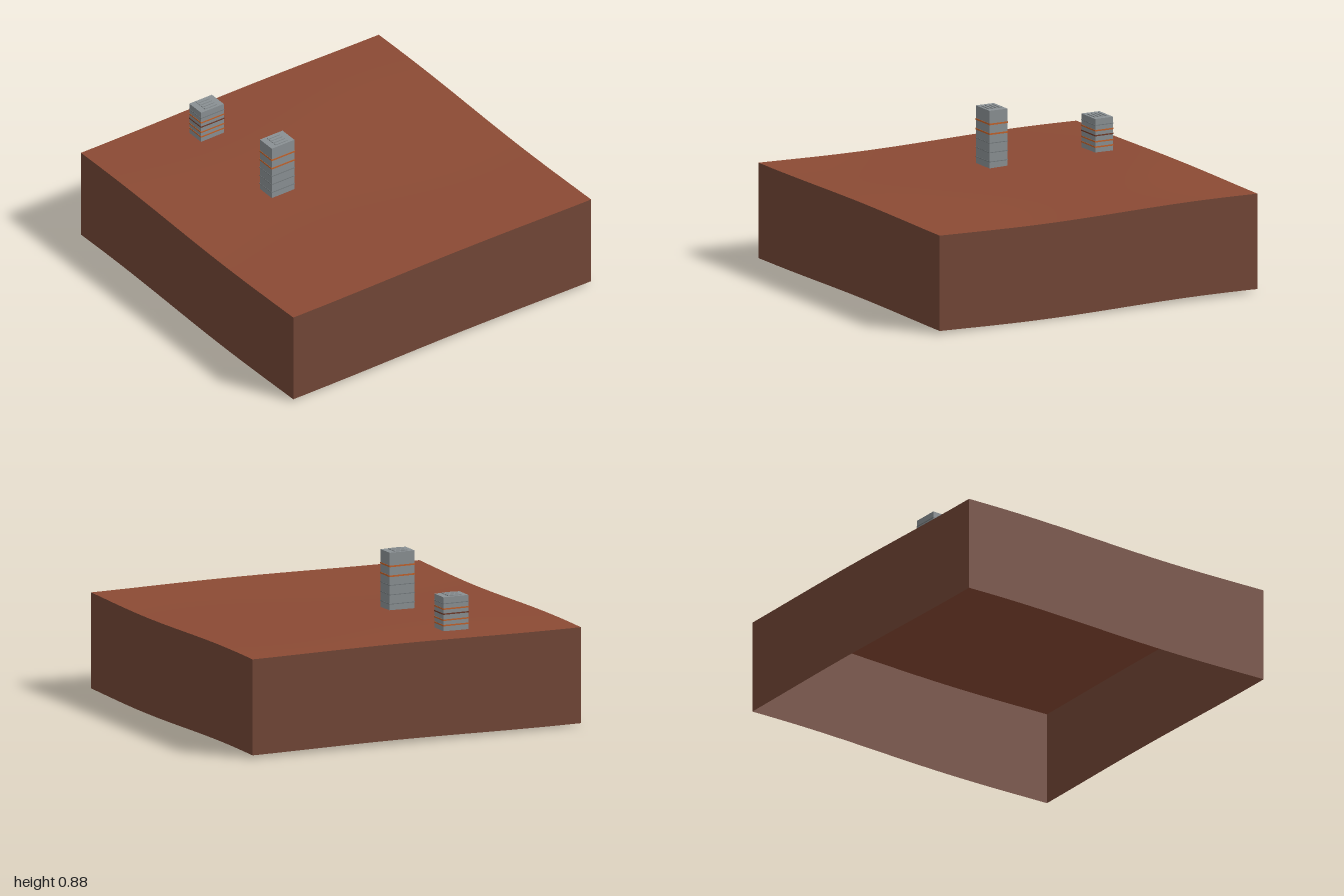
import * as THREE from 'three';

const mat = (name, color, side = THREE.FrontSide) => {
  const m = new THREE.MeshStandardMaterial({ color, side });
  m.name = name;
  return m;
};

// Gentle rolling ground height
const height = (x, z) =>
  0.551 - 0.008 * Math.cos(Math.PI * (x - 0.35)) + 0.004 * Math.cos(Math.PI * (z + 0.15)) - 0.002 * z;

export function createModel() {
  const group = new THREE.Group();
  const soil = mat('red soil', 0x8b4a34, THREE.DoubleSide);
  const earth = mat('cut earth', 0x724636, THREE.DoubleSide);
  const concrete = mat('concrete grey', 0x8a9093);
  const joint = mat('joint grey', 0x72787b);
  const orange = mat('orange trim', 0xc0622c);
  const rust = mat('dark rust trim', 0x6e3a28);

  const add = (parent, name, geometry, material, x = 0, y = 0, z = 0) => {
    const mesh = new THREE.Mesh(geometry, material);
    mesh.name = name;
    mesh.position.set(x, y, z);
    parent.add(mesh);
    return mesh;
  };

  // Ground surface
  const ground = new THREE.PlaneGeometry(2, 2, 40, 40).rotateX(-Math.PI / 2);
  const gp = ground.attributes.position;
  for (let i = 0; i < gp.count; i++) gp.setY(i, height(gp.getX(i), gp.getZ(i)));
  ground.computeVertexNormals();
  add(group, 'ground', ground, soil);

  // Four skirt walls of constant depth, open underneath
  const depth = 0.536;
  for (let side = 0; side < 4; side++) {
    const wall = new THREE.PlaneGeometry(2, depth, 40, 1).translate(0, 0, 1).rotateY(side * Math.PI / 2);
    const p = wall.attributes.position;
    for (let i = 0; i < p.count; i++) {
      const top = height(p.getX(i), p.getZ(i));
      p.setY(i, p.getY(i) > 0 ? top : top - depth);
    }
    add(group, 'skirtWall', wall, earth);
  }

  // Tower block with floor bands and raised roof slats
  const W = 0.112, D = 0.152;
  const tower = (name, x, z, top, bands) => {
    const t = new THREE.Group();
    t.name = name;
    t.position.set(x, 0, z);
    const base = height(x, z) - 0.001;
    add(t, 'towerBody', new THREE.BoxGeometry(W, top - base, D), concrete, 0, (top + base) / 2, 0);
    for (const [y, material, thick] of bands) {
      add(t, 'floorBand', new THREE.BoxGeometry(W + 0.004, thick, D + 0.004), material, 0, y, 0);
    }
    for (let i = 0; i < 4; i++) {
      add(t, 'roofSlat', new THREE.BoxGeometry(0.014, 0.005, 0.08), concrete, (i - 1.5) * 0.023, top + 0.0025, 0);
    }
    group.add(t);
  };

  tower('smallTower', -0.752, 0.333, 0.748, [
    [0.59, orange, 0.008], [0.62, orange, 0.008], [0.654, rust, 0.007],
    [0.682, orange, 0.008], [0.712, joint, 0.004],
  ]);
  tower('tallTower', -0.087, 0.333, 0.872, [
    [0.585, joint, 0.004], [0.637, joint, 0.004], [0.69, joint, 0.004],
    [0.741, orange, 0.009], [0.796, orange, 0.009],
  ]);

  return group;
}
